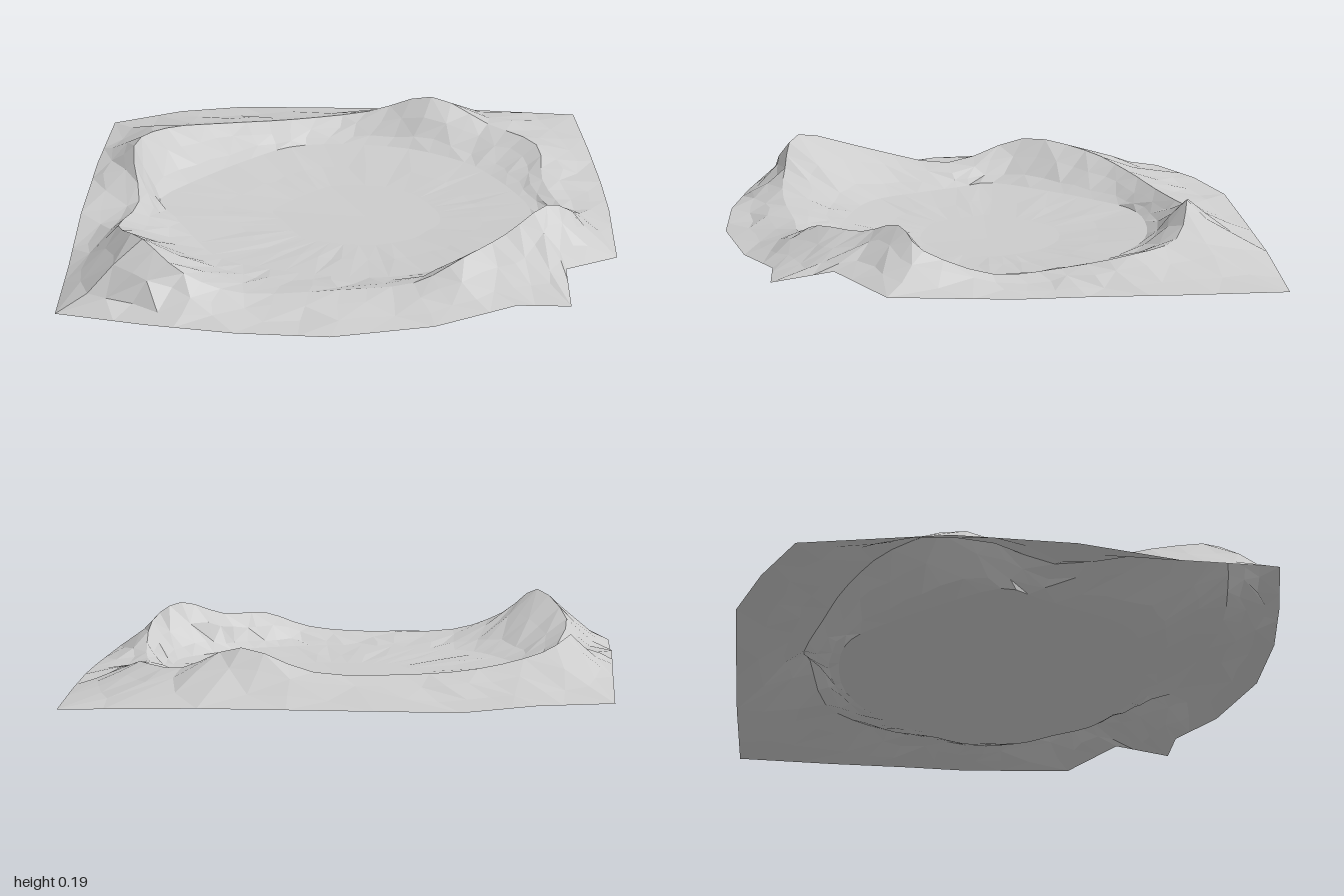
import * as THREE from 'three';

// Matching stations around the crater, clockwise seen from above: x, y, z
const EDGE = [
  [-0.09, 0.01, -1], [0.15, 0.015, -0.84], [0.35, 0.02, -0.7], [0.5, 0.02, -0.59], [0.75, 0.03, -0.38],
  [0.76, 0.06, -0.18], [0.89, 0.035, -0.08], [0.8, 0.035, 0.03], [0.73, 0.015, 0.25], [0.61, 0.015, 0.5],
  [0.45, 0.02, 0.69], [0.27, 0.02, 0.85], [0.08, 0.02, 1], [-0.12, 0.025, 0.84], [-0.33, 0.06, 0.67],
  [-0.58, 0.07, 0.46], [-0.89, 0.025, 0.21], [-0.83, 0.03, 0], [-0.76, 0.02, -0.19], [-0.55, 0.02, -0.45],
  [-0.33, 0.02, -0.72],
];
const CREST = [
  [-0.07, 0.085, -0.62], [0.13, 0.08, -0.64], [0.28, 0.05, -0.53], [0.45, 0.05, -0.45], [0.6, 0.12, -0.35],
  [0.6, 0.17, -0.25], [0.6, 0.125, -0.1], [0.62, 0.115, 0.06], [0.58, 0.065, 0.2], [0.47, 0.05, 0.36],
  [0.34, 0.055, 0.58], [0.24, 0.11, 0.7], [0.14, 0.19, 0.76], [-0.08, 0.125, 0.7], [-0.26, 0.08, 0.52],
  [-0.47, 0.145, 0.4], [-0.57, 0.12, 0.22], [-0.55, 0.09, 0.02], [-0.47, 0.08, -0.17], [-0.36, 0.09, -0.38],
  [-0.22, 0.15, -0.52],
];
const FOOT = [
  [0, -0.47], [0.12, -0.47], [0.24, -0.45], [0.36, -0.41], [0.46, -0.32], [0.49, -0.2], [0.52, -0.08],
  [0.5, 0.04], [0.45, 0.18], [0.35, 0.3], [0.25, 0.38], [0.15, 0.45], [0.05, 0.48], [-0.08, 0.46],
  [-0.22, 0.43], [-0.34, 0.4], [-0.39, 0.2], [-0.41, 0.03], [-0.41, -0.12], [-0.33, -0.26], [-0.18, -0.4],
].map(([x, z]) => [x, 0.022, z]);

const STEPS = 3;
const COUNT = EDGE.length * STEPS;

let seed = 7;
const noise = (amount) => {
  seed = (seed * 16807) % 2147483647;
  return (seed / 2147483647 - 0.5) * 2 * amount;
};

// Closed loop through the stations, straight or curved between them
function ring(stations, curved) {
  const pts = stations.map((p) => new THREE.Vector3(...p));
  const curve = new THREE.CatmullRomCurve3(pts, true, 'catmullrom', 0.5);
  return Array.from({ length: COUNT }, (_, i) => {
    if (curved) return curve.getPoint(i / COUNT);
    const k = Math.floor(i / STEPS);
    return pts[k].clone().lerp(pts[(k + 1) % pts.length], (i % STEPS) / STEPS);
  });
}

// Ring between two others; rise is the share of the height change taken
function between(a, b, t, rise, rough) {
  return a.map((p, i) => {
    const q = p.clone().lerp(b[i], t);
    q.x += noise(rough);
    q.z += noise(rough);
    q.y = Math.max(0.003, THREE.MathUtils.lerp(p.y, b[i].y, rise) + noise(rough * 0.4));
    return q;
  });
}

const rock = new THREE.MeshStandardMaterial({
  color: 0xcccccc, flatShading: true, side: THREE.DoubleSide,
});

// Faceted band skinned over a list of rings
function band(name, rings) {
  const position = rings.flat().flatMap((p) => [p.x, p.y, p.z]);
  const index = [];
  for (let r = 0; r < rings.length - 1; r++) {
    for (let i = 0; i < COUNT; i++) {
      const j = (i + 1) % COUNT;
      const a = r * COUNT + i, b = r * COUNT + j;
      const c = a + COUNT, d = b + COUNT;
      if ((i + r) % 2) index.push(a, c, b, b, c, d);
      else index.push(a, c, d, a, d, b);
    }
  }
  const geometry = new THREE.BufferGeometry();
  geometry.setAttribute('position', new THREE.Float32BufferAttribute(position, 3));
  geometry.setIndex(index);
  geometry.computeVertexNormals();
  const mesh = new THREE.Mesh(geometry, rock);
  mesh.name = name;
  return mesh;
}

export function createModel() {
  const group = new THREE.Group();
  group.name = 'craterTerrain';

  const edge = ring(EDGE, false);
  const crest = ring(CREST, true);
  const foot = ring(FOOT, true);
  const centre = foot.map(() => new THREE.Vector3(0.08, 0, -0.03));

  // Outer flank from the ragged border up to the ridge
  group.add(band('outerSlope', [
    edge,
    between(edge, crest, 0.35, 0.25, 0.012),
    between(edge, crest, 0.7, 0.65, 0.012),
    crest,
  ]));

  // Steeper wall falling into the basin
  group.add(band('innerSlope', [
    crest,
    between(crest, foot, 0.35, 0.4, 0.01),
    between(crest, foot, 0.7, 0.8, 0.01),
    foot,
  ]));

  // Shallow, nearly flat basin
  group.add(band('basinFloor', [
    foot,
    between(foot, centre, 0.3, 0.5, 0.006),
    between(foot, centre, 0.55, 0.9, 0),
    centre,
  ]));

  return group;
}
